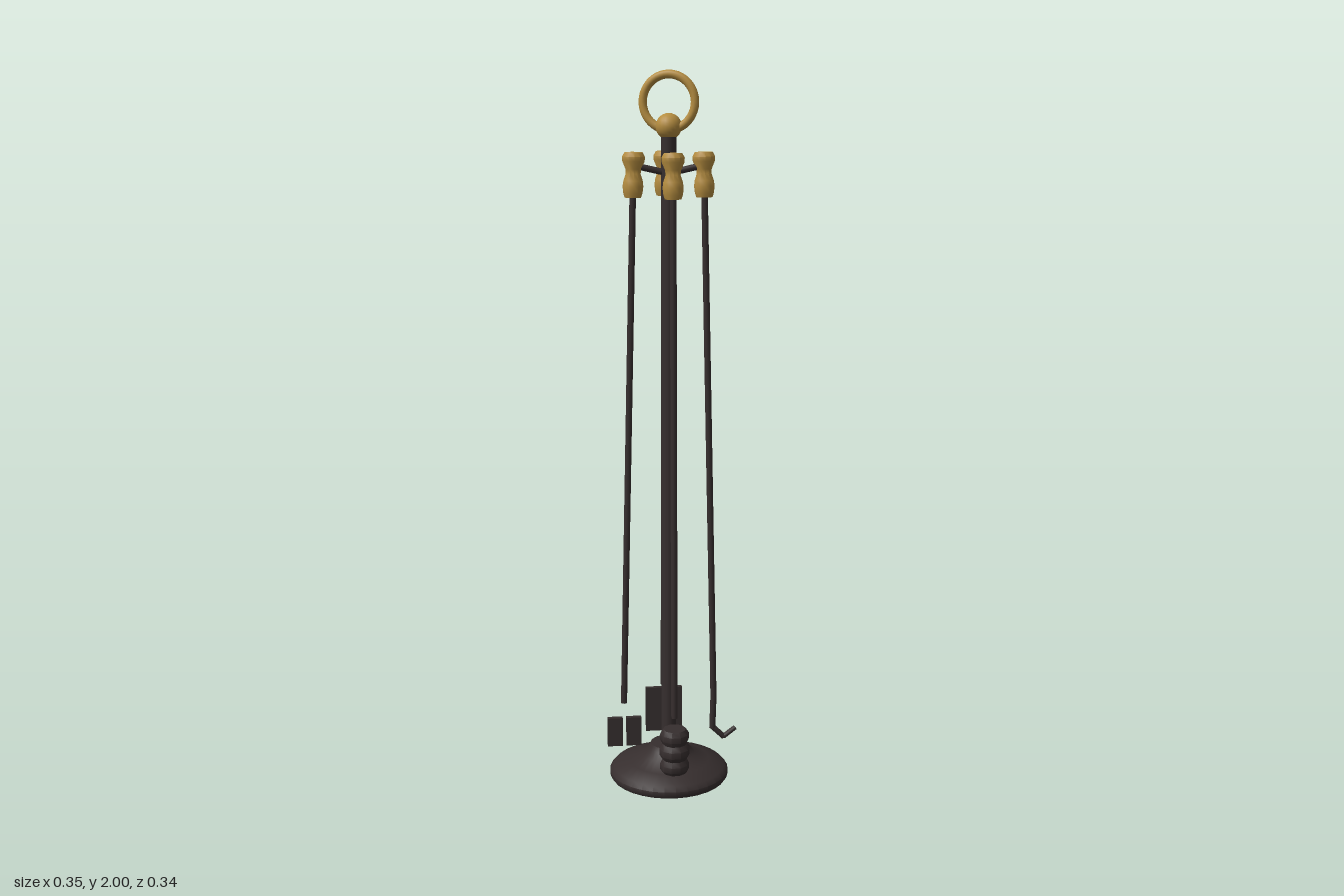
import * as THREE from 'three';
import { toCreasedNormals } from 'three/addons/utils/BufferGeometryUtils.js';

const iron = new THREE.MeshStandardMaterial({ color: 0x362e2e });
iron.name = 'dark iron';
const brass = new THREE.MeshStandardMaterial({ color: 0xb58d40 });
brass.name = 'brass';

function part(parent, name, geometry, material, x = 0, y = 0, z = 0) {
  const mesh = new THREE.Mesh(geometry, material);
  mesh.name = name;
  mesh.position.set(x, y, z);
  parent.add(mesh);
  return mesh;
}

function lathe(profile, sides) {
  const points = profile.map(([r, y]) => new THREE.Vector2(r, y));
  return toCreasedNormals(new THREE.LatheGeometry(points, sides), 0.7);
}

// round bar between two points in the local x-y plane
function bar(parent, name, [x1, y1], [x2, y2], radius) {
  const a = new THREE.Vector3(x1, y1, 0), b = new THREE.Vector3(x2, y2, 0);
  const dir = b.clone().sub(a);
  const mesh = part(parent, name, new THREE.CylinderGeometry(radius, radius, dir.length(), 10), iron);
  mesh.position.copy(a).add(b).multiplyScalar(0.5);
  mesh.quaternion.setFromUnitVectors(new THREE.Vector3(0, 1, 0), dir.normalize());
}

// Tool heads: local x points outward from the stand
const heads = {
  poker(tool) {
    bar(tool, 'pokerTip', [0.13, 0.24], [0.127, 0.14], 0.009);
    bar(tool, 'pokerHookInner', [0.126, 0.145], [0.161, 0.111], 0.008);
    bar(tool, 'pokerHookOuter', [0.159, 0.111], [0.194, 0.138], 0.007);
  },
  shovel(tool) {
    part(tool, 'shovelBlade', new THREE.BoxGeometry(0.013, 0.135, 0.107), iron, 0.128, 0.155);
  },
  tongs(tool) {
    for (const s of [-1, 1]) {
      part(tool, 'tongsJaw', new THREE.BoxGeometry(0.043, 0.085, 0.014), iron, 0.129 + s * 0.027, 0.143);
    }
  },
  broom(tool) {
    const profile = [[0, 0.07], [0.033, 0.07], [0.041, 0.08], [0.041, 0.096], [0.034, 0.11],
      [0.043, 0.124], [0.043, 0.142], [0.034, 0.156], [0.041, 0.17], [0.041, 0.186], [0.032, 0.199], [0, 0.199]];
    part(tool, 'broomHead', lathe(profile, 10), iron, 0.132);
  },
};

export function createModel() {
  const model = new THREE.Group();
  model.name = 'fireplaceToolSet';
  const stand = new THREE.Group();
  stand.name = 'stand';
  stand.position.set(-0.008, 0, -0.002);
  model.add(stand);

  // Base and central post
  const baseProfile = [[0, 0.004], [0.166, 0.004], [0.171, 0.012], [0.171, 0.024], [0.16, 0.037],
    [0.115, 0.053], [0.075, 0.072], [0.058, 0.09], [0.052, 0.103], [0, 0.103]];
  part(stand, 'base', lathe(baseProfile, 32), iron);
  part(stand, 'post', new THREE.CylinderGeometry(0.021, 0.021, 1.75, 16), iron, 0, 0.965);

  // Carrying ring and ball
  part(stand, 'ball', new THREE.SphereGeometry(0.035, 20, 14), brass, 0, 1.853);
  part(stand, 'carryingRing', new THREE.TorusGeometry(0.072, 0.0115, 12, 40), brass, 0, 1.9165);

  // Four hanging tools, each with arm, handle and rod
  const handleProfile = [[0, 0], [0.022, 0], [0.026, 0.012], [0.028, 0.03], [0.026, 0.045], [0.02, 0.063],
    [0.021, 0.075], [0.03, 0.096], [0.031, 0.108], [0.024, 0.12], [0, 0.121]];
  const handle = lathe(handleProfile, 12);
  ['poker', 'shovel', 'tongs', 'broom'].forEach((name, i) => {
    const tool = new THREE.Group();
    tool.name = name;
    tool.rotation.y = Math.PI / 8 + i * Math.PI / 2;
    stand.add(tool);
    bar(tool, 'arm', [0, 1.73], [0.09, 1.75], 0.009);
    part(tool, 'handle', handle, brass, 0.097, 1.666).rotation.z = 0.023;
    bar(tool, 'rod', [0.097, 1.68], [0.13, 0.23], 0.009);
    heads[name](tool);
  });
  return model;
}
